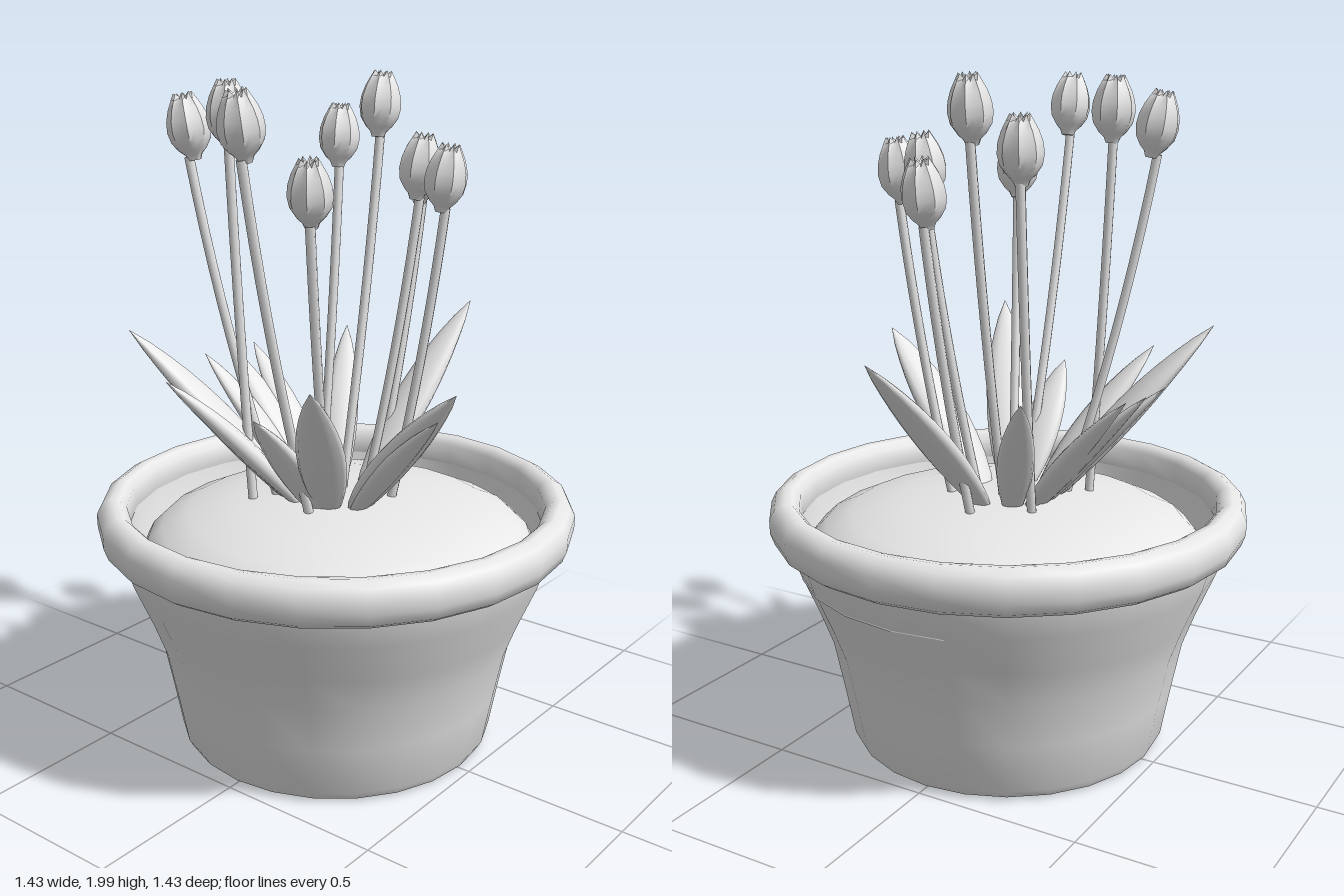
import * as THREE from 'three';
import { toCreasedNormals } from 'three/addons/utils/BufferGeometryUtils.js';

const clay = new THREE.MeshStandardMaterial({ color: 0xe7e7e7, side: THREE.DoubleSide });
clay.name = 'pale grey';

const V = (x, y, z) => new THREE.Vector3(x, y, z);

// Skin a closed tube over equal-sized rings of points, capping both ends
function loft(rings) {
  const n = rings[0].length;
  const pos = [], index = [];
  rings.forEach(ring => ring.forEach(p => pos.push(p.x, p.y, p.z)));
  for (let i = 0; i < rings.length - 1; i++) {
    for (let j = 0; j < n; j++) {
      const a = i * n + j, b = i * n + (j + 1) % n;
      index.push(a, b, b + n, a, b + n, a + n);
    }
  }
  [0, rings.length - 1].forEach(r => {
    const c = pos.length / 3;
    const mid = rings[r].reduce((s, p) => s.add(p), V(0, 0, 0)).divideScalar(n);
    pos.push(mid.x, mid.y, mid.z);
    for (let j = 0; j < n; j++) {
      const a = r * n + j, b = r * n + (j + 1) % n;
      if (r === 0) index.push(c, b, a);
      else index.push(c, a, b);
    }
  });
  const g = new THREE.BufferGeometry();
  g.setAttribute('position', new THREE.Float32BufferAttribute(pos, 3));
  g.setIndex(index);
  g.computeVertexNormals();
  return g;
}

function add(parent, name, geometry) {
  const m = new THREE.Mesh(geometry, clay);
  m.name = name;
  parent.add(m);
  return m;
}

function lathe(points, sides) {
  const g = new THREE.LatheGeometry(points.map(([r, y]) => new THREE.Vector2(r, y)), sides);
  return toCreasedNormals(g, 0.75);
}

// Plump, pointed blade rising outward from base to tip
function leafGeometry(base, tip, halfWidth) {
  const mid = base.clone().lerp(tip, 0.5);
  mid.y += 0.035;
  const curve = new THREE.QuadraticBezierCurve3(base, mid, tip);
  const side = V(0, 1, 0).cross(V(tip.x - base.x, 0, tip.z - base.z)).normalize();
  const rings = [];
  for (let i = 0; i <= 10; i++) {
    const t = i / 10;
    const p = curve.getPoint(t);
    const normal = curve.getTangent(t).cross(side);
    const w = halfWidth * (0.25 * (1 - t) + Math.pow(Math.sin(Math.PI * Math.pow(t, 0.9)), 0.8)) + 0.001;
    const ring = [];
    for (let j = 0; j < 12; j++) {
      const a = j / 12 * Math.PI * 2;
      ring.push(p.clone()
        .addScaledVector(side, w * Math.cos(a))
        .addScaledVector(normal, w * 0.48 * Math.sin(a)));
    }
    rings.push(ring);
  }
  return loft(rings);
}

// Closed bud with ridged petals; each row is [height, ridge radius, valley radius]
function budGeometry() {
  const rows = [
    [-0.1, 0.018, 0.018], [-0.085, 0.024, 0.024], [-0.07, 0.04, 0.038],
    [-0.045, 0.057, 0.053], [-0.015, 0.063, 0.057], [0.015, 0.06, 0.054],
    [0.045, 0.05, 0.043], [0.07, 0.037, 0.029], [0.09, 0.026, 0.015], [0.065, 0.01, 0.008],
  ];
  const rings = rows.map(([y, ridge, valley], i) => {
    const ring = [];
    for (let j = 0; j < 16; j++) {
      const a = j / 16 * Math.PI * 2;
      const r = j % 2 ? valley : ridge;
      const h = y - (i === 8 && j % 2 ? 0.014 : 0);
      ring.push(V(Math.sin(a) * r, h, Math.cos(a) * r));
    }
    return ring;
  });
  return toCreasedNormals(loft(rings), 0.8);
}

export function createModel() {
  const model = new THREE.Group();
  model.name = 'pottedFlowers';

  // Flared pot with inner wall
  add(model, 'pot', lathe([
    [0, 0.01], [0.44, 0.01], [0.468, 0.018], [0.48, 0.04], [0.508, 0.19], [0.538, 0.34],
    [0.575, 0.44], [0.63, 0.57], [0.655, 0.65], [0.66, 0.7],
  ], 24));
  add(model, 'potInnerWall', lathe([[0.625, 0.75], [0.62, 0.7], [0.6, 0.6], [0.57, 0.5]], 24));

  // Thick rounded rim
  add(model, 'rim', lathe([
    [0.62, 0.7], [0.64, 0.66], [0.675, 0.65], [0.7, 0.667], [0.712, 0.7], [0.713, 0.74],
    [0.698, 0.77], [0.67, 0.786], [0.645, 0.782], [0.625, 0.762], [0.62, 0.7],
  ], 24));

  // Domed soil
  const soil = add(model, 'soil', lathe([
    [0.613, 0.553], [0.6, 0.61], [0.58, 0.65], [0.54, 0.688], [0.46, 0.725],
    [0.32, 0.757], [0.16, 0.775], [0, 0.78],
  ], 24));
  soil.position.set(0.012, 0, 0.005);

  // Leaves: base x, z, tip x, y, z, half width
  const leaves = [
    [0.1, 0.01, 0.61, 1.27, 0.07, 0.06], [0.08, -0.06, 0.43, 1.17, -0.29, 0.045],
    [0.06, -0.09, 0.16, 1.14, -0.46, 0.045], [0.035, -0.1, 0.075, 1.14, -0.48, 0.045],
    [0, -0.1, -0.045, 1.14, -0.48, 0.045], [-0.06, -0.09, -0.345, 1.27, -0.5, 0.07],
    [-0.08, -0.05, -0.43, 1.17, -0.27, 0.055], [-0.09, 0.01, -0.39, 1.1, 0.02, 0.055],
    [-0.07, 0.03, -0.49, 1.25, 0.3, 0.06], [-0.025, 0.08, -0.13, 1.2, 0.505, 0.07],
    [-0.04, 0.09, -0.17, 1.13, 0.475, 0.045],
  ];
  leaves.forEach(([bx, bz, tx, ty, tz, w]) =>
    add(model, 'leaf', leafGeometry(V(bx, 0.73, bz), V(tx, ty, tz), w)));

  // Flowers: stem base x, z, bud x, y, z
  const flowers = [
    [-0.16, 0.03, -0.43, 1.9, 0.03], [-0.1, -0.14, -0.21, 1.86, -0.365],
    [-0.16, -0.19, -0.18, 1.9, -0.24], [-0.08, 0.03, -0.27, 1.72, 0.125],
    [0.12, -0.15, 0.26, 1.81, -0.19], [0.04, -0.01, 0.25, 1.91, -0.03],
    [0.21, 0, 0.41, 1.7, 0.015], [0.075, 0.05, 0.185, 1.75, 0.16],
    [0.085, 0.14, 0.145, 1.73, 0.275],
  ];
  const bud = budGeometry();
  flowers.forEach(([bx, bz, x, y, z], k) => {
    const flower = new THREE.Group();
    flower.name = 'flower';
    const base = V(bx, 0.75, bz), top = V(x, y - 0.09, z);
    const mid = base.clone().lerp(top, 0.5);
    mid.x += (x - bx) * 0.14;
    mid.z += (z - bz) * 0.14;
    const path = new THREE.QuadraticBezierCurve3(base, mid, top);
    add(flower, 'stem', new THREE.TubeGeometry(path, 10, 0.014, 8));
    // Turn each head, and lean it along its stem
    const head = add(flower, 'flowerHead', bud);
    head.position.set(x, y, z);
    head.quaternion.setFromUnitVectors(V(0, 1, 0), path.getTangent(1));
    head.rotateY(k * 0.7);
    model.add(flower);
  });

  return model;
}
